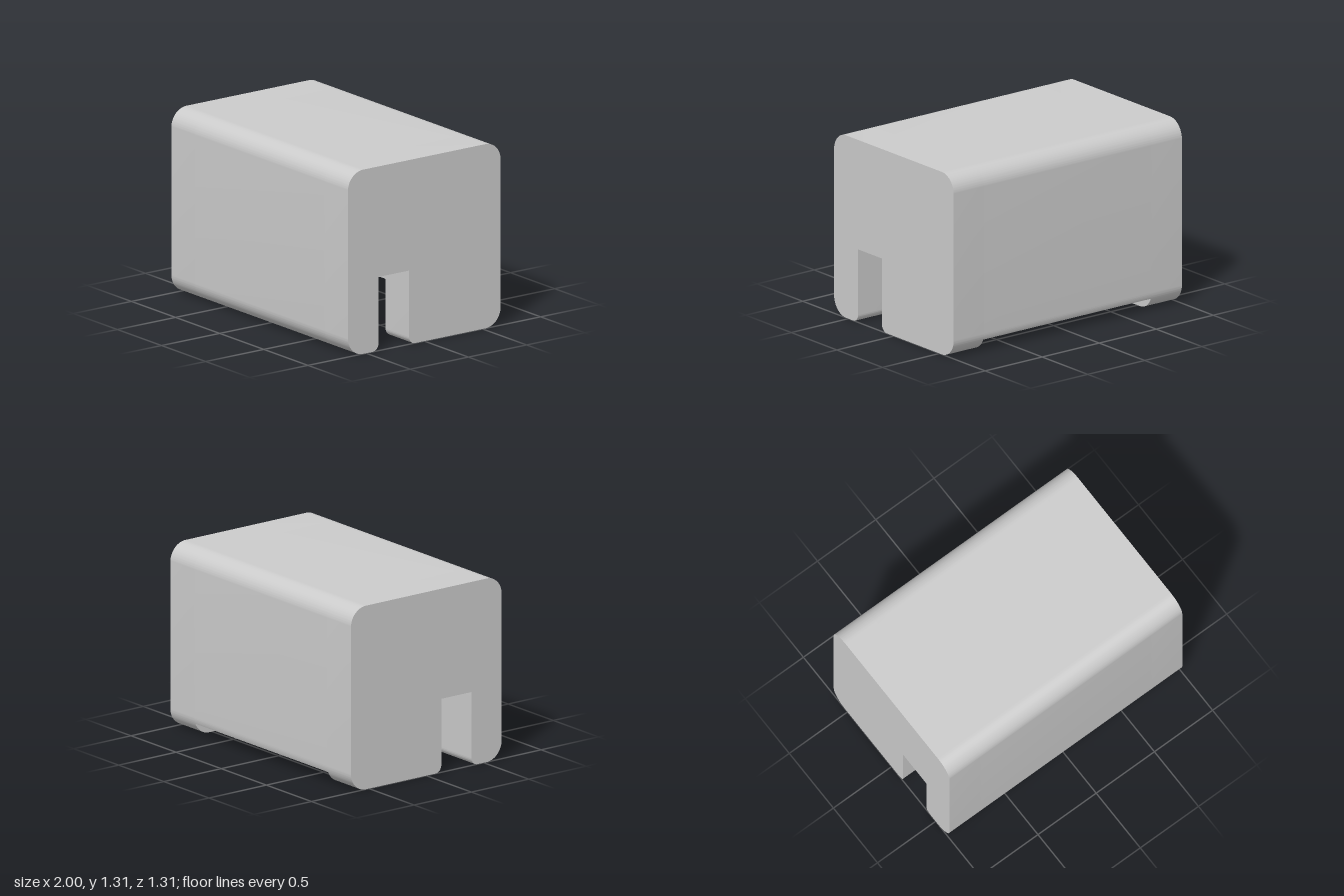
import * as THREE from 'three';
import { toCreasedNormals } from 'three/addons/utils/BufferGeometryUtils.js';

const W = 0.656;           // half depth
const H = 1.312;           // height
const R = 0.131;           // outer corner radius
const r = 0.052;           // slot mouth radius
const SLOT = { back: 0.131, front: 0.394, top: 0.525 };
const END = 0.735;         // inner face of the solid ends
const CAVITY = { back: -0.55, top: 1.18, lip: 0.083 };

// Outline of the front leg, the outer front and the top, down to the back wall (z, y)
function startOutline() {
  const s = new THREE.Shape();
  s.moveTo(SLOT.front, SLOT.top);
  s.lineTo(SLOT.front, r);
  s.absarc(SLOT.front + r, r, r, Math.PI, Math.PI * 1.5, false);
  s.absarc(W - R, R, R, -Math.PI / 2, 0, false);
  s.absarc(W - R, H - R, R, 0, Math.PI / 2, false);
  s.absarc(-W + R, H - R, R, Math.PI / 2, Math.PI, false);
  return s;
}

// Solid end: full section with the slot
function endOutline() {
  const s = startOutline();
  s.absarc(-W + R, R, R, Math.PI, Math.PI * 1.5, false);
  s.absarc(SLOT.back - r, r, r, -Math.PI / 2, 0, false);
  s.lineTo(SLOT.back, SLOT.top);
  s.closePath();
  return s;
}

// Middle: hollow behind the slot, with a shortened back wall
function middleOutline() {
  const s = startOutline();
  const cut = Math.PI + Math.asin((R - CAVITY.lip) / R);
  s.absarc(-W + R, R, R, Math.PI, cut, false);
  s.lineTo(CAVITY.back, CAVITY.lip);
  s.lineTo(CAVITY.back, CAVITY.top);
  s.lineTo(SLOT.back, CAVITY.top);
  s.lineTo(SLOT.back, SLOT.top);
  s.closePath();
  return s;
}

// Extrude a (z, y) outline along x between two positions
function section(name, outline, x0, x1, material) {
  const geo = new THREE.ExtrudeGeometry(outline, { depth: x1 - x0, bevelEnabled: false, curveSegments: 16 });
  geo.rotateY(-Math.PI / 2);
  geo.translate(x1, 0, 0);
  const mesh = new THREE.Mesh(toCreasedNormals(geo, 0.4), material);
  mesh.name = name;
  return mesh;
}

export function createModel() {
  const model = new THREE.Group();
  model.name = 'slottedCover';
  const grey = new THREE.MeshStandardMaterial({ color: 0xcccccc });
  model.add(
    section('leftEnd', endOutline(), END, 1, grey),
    section('hollowMiddle', middleOutline(), -END, END, grey),
    section('rightEnd', endOutline(), -1, -END, grey),
  );
  return model;
}
